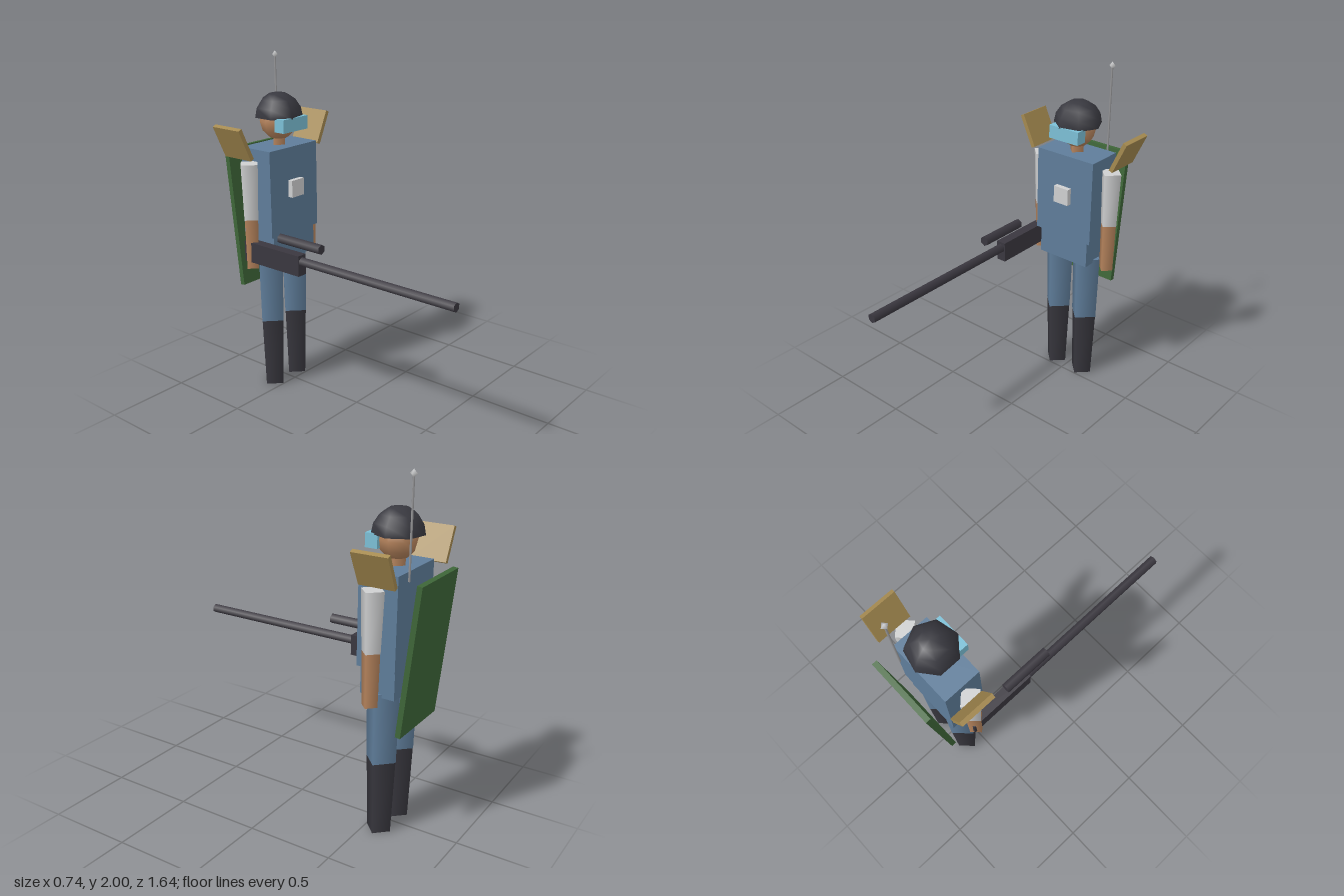
import * as THREE from 'three';

const paint = (color) => new THREE.MeshStandardMaterial({ color });

export function createModel() {
  const model = new THREE.Group();
  const uniform = paint(0x5f7d9a); uniform.name = 'uniformBlue';
  const sleeve = paint(0xcfd0d1); sleeve.name = 'sleeveWhite';
  const skin = paint(0xb5835c); skin.name = 'skin';
  const gear = paint(0x37363d); gear.name = 'gearBlack';
  const gunMetal = paint(0x3a373f); gunMetal.name = 'gunMetal';
  const lens = paint(0x7cc0d6); lens.name = 'lensCyan';
  const tan = paint(0xa58a50); tan.name = 'plateTan';
  const green = paint(0x3e6638); green.name = 'panelGreen';
  const steel = paint(0x9a9a9c); steel.name = 'antennaSteel';
  const shell = paint(0x38383f); shell.name = 'helmetBlack';
  shell.side = THREE.DoubleSide;

  const Z = -0.577; // depth of the body axis

  const add = (name, geometry, material, x, y, z) => {
    const mesh = new THREE.Mesh(geometry, material);
    mesh.name = name;
    mesh.position.set(x, y, z);
    model.add(mesh);
    return mesh;
  };
  const box = (name, w, h, d, material, x, y, z) =>
    add(name, new THREE.BoxGeometry(w, h, d), material, x, y, z);
  // Four-sided tapered limb between two heights
  const limb = (name, rTop, rBottom, y0, y1, material, x) =>
    add(name, new THREE.CylinderGeometry(rTop, rBottom, y1 - y0, 4), material, x, (y0 + y1) / 2, Z);
  // Six-sided rod lying along z
  const rod = (name, r, z0, z1, x, y) =>
    add(name, new THREE.CylinderGeometry(r, r, z1 - z0, 6).rotateX(Math.PI / 2), gunMetal, x, y, (z0 + z1) / 2);

  // Body
  box('torso', 0.39, 0.51, 0.222, uniform, 0, 1.235, Z);
  box('pelvis', 0.34, 0.16, 0.2, uniform, 0, 0.9, Z);
  box('chestBadge', 0.1, 0.1, 0.03, sleeve, 0, 1.25, -0.45);

  // Limbs and shoulder plates, mirrored
  for (const [side, s] of [['left', 1], ['right', -1]]) {
    limb(side + 'Thigh', 0.098, 0.09, 0.43, 0.84, uniform, s * 0.101);
    limb(side + 'Boot', 0.088, 0.072, 0, 0.43, gear, s * 0.101);
    limb(side + 'Sleeve', 0.067, 0.055, 1.095, 1.42, sleeve, s * 0.246);
    limb(side + 'Forearm', 0.053, 0.047, 0.8, 1.095, skin, s * 0.246);
    const plate = box(side + 'ShoulderPlate', 0.025, 0.2, 0.204, tan, s * 0.319, 1.543, -0.62);
    plate.rotation.z = -s * 0.435;
  }

  // Head, helmet and goggles
  limb('neck', 0.047, 0.047, 1.47, 1.57, skin, 0);
  add('head', new THREE.SphereGeometry(0.108, 8, 6), skin, 0, 1.625, Z);
  const helmet = add('helmet',
    new THREE.SphereGeometry(0.14, 7, 4, 0, Math.PI * 2, 0, Math.PI / 2), shell, 0, 1.652, Z);
  helmet.rotation.y = Math.PI;
  box('goggles', 0.2, 0.077, 0.07, lens, 0, 1.619, -0.478);

  // Back panel, leaning backwards at the top
  const panel = box('backPanel', 0.405, 0.83, 0.03, green, 0, 1.05, -0.764);
  panel.rotation.x = -0.103;

  // Antenna
  add('antenna', new THREE.CylinderGeometry(0.006, 0.006, 0.53, 5), steel, 0.122, 1.715, -0.709);
  add('antennaTip', new THREE.SphereGeometry(0.021, 4, 2), sleeve, 0.122, 1.979, -0.709);

  // Long gun held in the right hand
  box('gunBody', 0.06, 0.12, 0.42, gunMetal, -0.246, 0.9, -0.4);
  rod('gunBarrel', 0.027, -0.2, 0.822, -0.246, 0.922);
  rod('gunScope', 0.029, -0.35, -0.045, -0.246, 1.024);

  return model;
}
